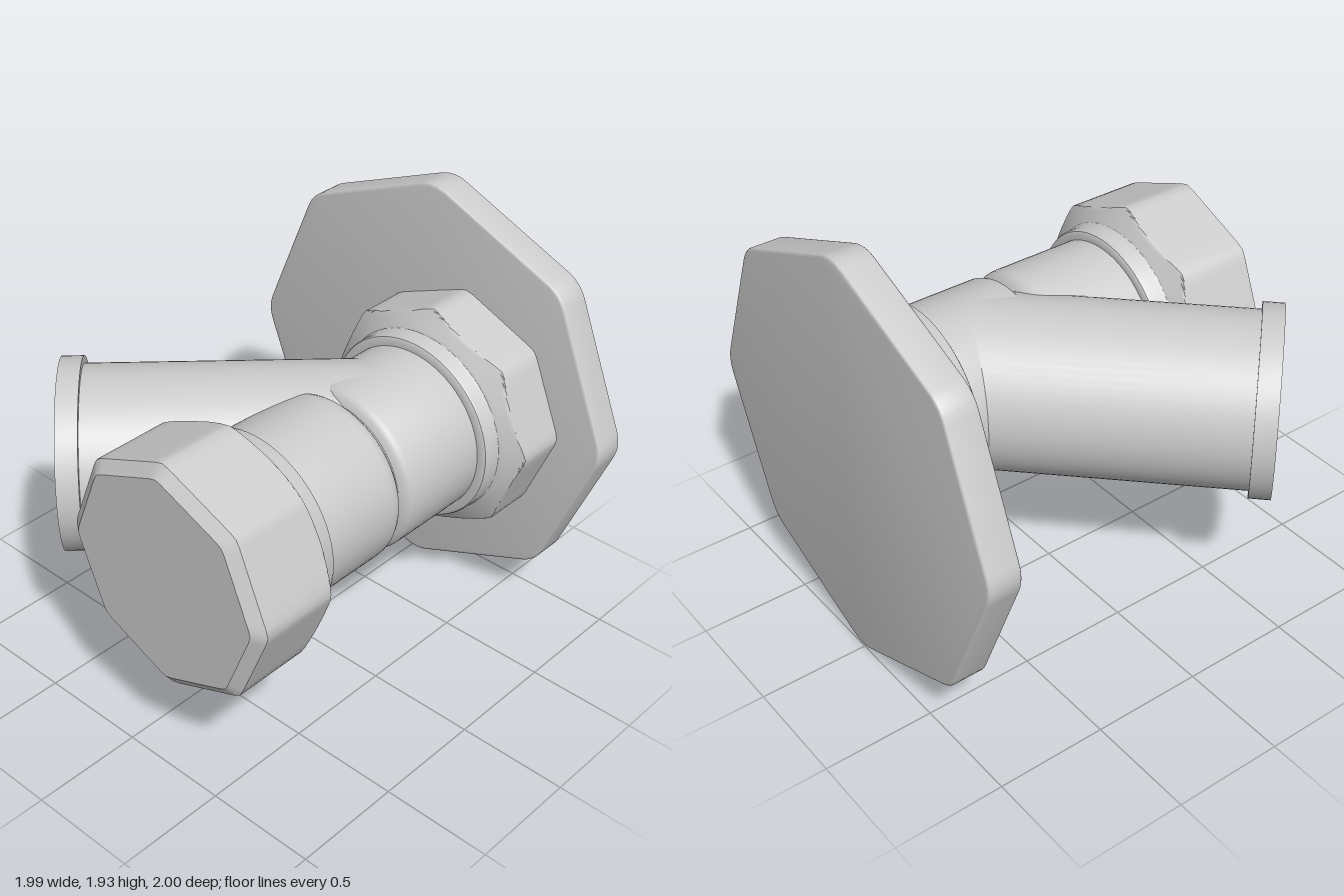
import * as THREE from 'three';
import { toCreasedNormals } from 'three/addons/utils/BufferGeometryUtils.js';

const MAT = new THREE.MeshStandardMaterial({ color: 0xcccccc, side: THREE.DoubleSide });
const AXIS_X = 0.235, AXIS_Y = 0.983;

function part(name, geometry, crease = 0.6) {
  const mesh = new THREE.Mesh(toCreasedNormals(geometry, crease), MAT);
  mesh.name = name;
  return mesh;
}

// Turned profile of [radius, distance] pairs, with its axis along +z
function turned(profile) {
  const points = profile.map(([r, d]) => new THREE.Vector2(r, d));
  return new THREE.LatheGeometry(points, 72).rotateX(Math.PI / 2);
}

// Octagonal nut along +z: cone-chamfered inner end, bevelled outer end
function nutGeometry(length, bevel) {
  const SEG = 96, apothem = 0.498, rows = [[0, 0, 1]]; // [z, scale, radius limit]
  for (let k = 0; k <= 10; k++) rows.push([0.006 * k, 1, 0.435 + 0.01 * k]);
  rows.push([length - bevel, 1, 0.534]);
  if (bevel) rows.push([length, 0.9, 0.534]);
  rows.push([length, 0, 1]);

  const positions = [], index = [];
  rows.forEach(([z, scale, limit], i) => {
    for (let j = 0; j <= SEG; j++) {
      const a = (j / SEG) * Math.PI * 2;
      const fromFlat = ((j % 12) / 12) * (Math.PI / 4) - Math.PI / 8;
      const r = scale * Math.min(apothem / Math.cos(fromFlat), limit, 0.534);
      positions.push(r * Math.cos(a), r * Math.sin(a), z);
      if (i && j) {
        const d = i * (SEG + 1) + j, c = d - 1, b = d - SEG - 1, e = b - 1;
        index.push(e, b, d, e, d, c);
      }
    }
  });
  const geometry = new THREE.BufferGeometry();
  geometry.setAttribute('position', new THREE.Float32BufferAttribute(positions, 3));
  geometry.setIndex(index);
  return geometry;
}

// Octagon with softened corners, points at top and sides
function octagonShape(radius, soft) {
  const shape = new THREE.Shape();
  const corner = (i) => new THREE.Vector2(
    radius * Math.cos((i * Math.PI) / 4), radius * Math.sin((i * Math.PI) / 4));
  for (let i = 0; i < 8; i++) {
    const c = corner(i);
    const a = c.clone().lerp(corner(i - 1), soft), b = c.clone().lerp(corner(i + 1), soft);
    if (i) shape.lineTo(a.x, a.y); else shape.moveTo(a.x, a.y);
    shape.quadraticCurveTo(c.x, c.y, b.x, b.y);
  }
  shape.closePath();
  return shape;
}

export function createModel() {
  const model = new THREE.Group();
  model.name = 'yPipeFitting';

  // Wall plate
  const bevel = 0.012;
  const plate = part('wallPlate', new THREE.ExtrudeGeometry(octagonShape(0.98, 0.1), {
    depth: 0.155 - 2 * bevel, bevelEnabled: true, bevelSize: bevel, bevelThickness: bevel,
    bevelOffset: -bevel, bevelSegments: 3, curveSegments: 6,
  }));
  plate.position.set(0.02, 0.98, -1 + bevel);
  model.add(plate);

  // Straight pipe with its collars and the groove in the middle
  const pipe = part('mainPipe', turned([
    [0.45, -0.575], [0.435, -0.56], [0.43, -0.55], [0.43, -0.495], [0.425, -0.484], [0.415, -0.478],
    [0.385, -0.478], [0.385, -0.065], [0.378, -0.045], [0.36, -0.03], [0.335, -0.02],
    [0.335, -0.008], [0.355, 0.002], [0.372, 0.02], [0.382, 0.04], [0.385, 0.065],
    [0.385, 0.465], [0.41, 0.465], [0.422, 0.472], [0.428, 0.485], [0.43, 0.53], [0.437, 0.55], [0.45, 0.565],
  ]));
  pipe.position.set(AXIS_X, AXIS_Y, 0);
  model.add(pipe);

  // Nuts at both ends of the straight pipe
  const frontNut = part('frontNut', nutGeometry(0.45, 0.04));
  frontNut.position.set(AXIS_X, AXIS_Y, 0.55);
  const backNut = part('backNut', nutGeometry(0.29, 0));
  backNut.rotation.y = Math.PI;
  backNut.position.set(AXIS_X, AXIS_Y, -0.56);
  model.add(frontNut, backNut);

  // Angled branch with an open, lipped mouth
  const branch = part('branchPipe', turned([
    [0, 0], [0.385, 0], [0.385, 1.235], [0.417, 1.235], [0.417, 1.33],
    [0.355, 1.33], [0.355, 0.55], [0, 0.55],
  ]));
  branch.rotation.y = -Math.PI / 4;
  branch.position.set(AXIS_X, AXIS_Y, -0.265);
  model.add(branch);

  return model;
}
